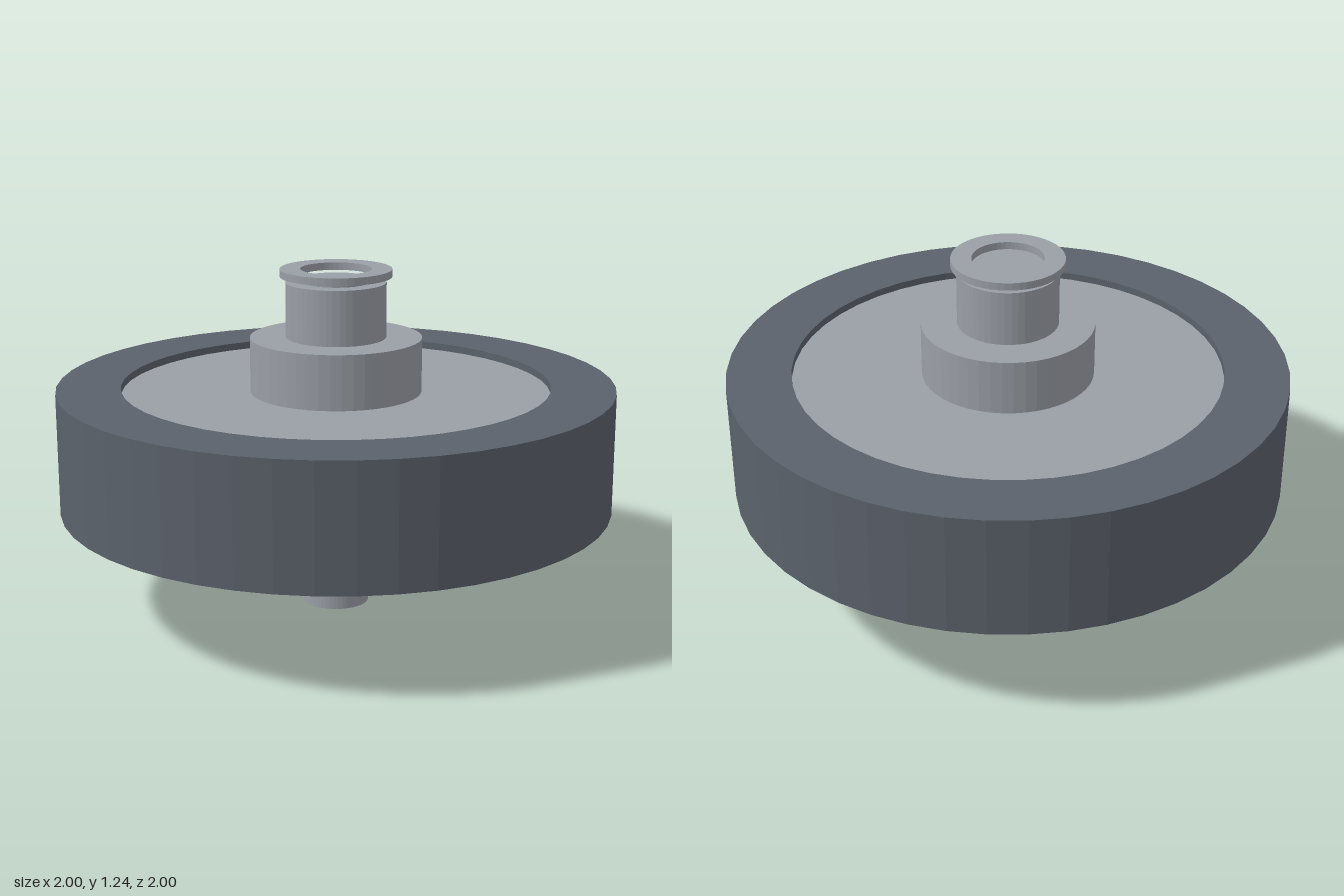
import * as THREE from 'three';

const SEGMENTS = 48;

export function createModel() {
  const model = new THREE.Group();
  const rubber = new THREE.MeshStandardMaterial({ color: 0x5b626b, flatShading: true });
  rubber.name = 'dark rubber';
  const steel = new THREE.MeshStandardMaterial({ color: 0x9a9ea6, flatShading: true });
  steel.name = 'light steel';

  const add = (name, geometry, material) => {
    const mesh = new THREE.Mesh(geometry, material);
    mesh.name = name;
    model.add(mesh);
  };

  // Solid round part between two heights
  const disc = (name, radius, bottom, top) => {
    const geometry = new THREE.CylinderGeometry(radius, radius, top - bottom, SEGMENTS);
    add(name, geometry.translate(0, (bottom + top) / 2, 0), steel);
  };

  // Ring with a rectangular section
  const ring = (name, inner, outer, bottom, top, material) => {
    const section = [[inner, bottom], [outer, bottom], [outer, top], [inner, top], [inner, bottom]];
    const points = section.map(([r, y]) => new THREE.Vector2(r, y));
    add(name, new THREE.LatheGeometry(points, SEGMENTS), material);
  };

  // Wheel: tyre around a slightly recessed web and a thick hub
  ring('tyre', 0.77, 1, 0.385, 0.825, rubber);
  disc('wheelWeb', 0.77, 0.412, 0.798);
  disc('hub', 0.308, 0.213, 0.995);

  // Axle with spacer sleeve and retaining washer
  disc('axle', 0.12, 0, 1.205);
  ring('spacerSleeve', 0.12, 0.18, 0.99, 1.193, steel);
  ring('retainingWasher', 0.127, 0.2, 1.213, 1.24, steel);

  return model;
}
